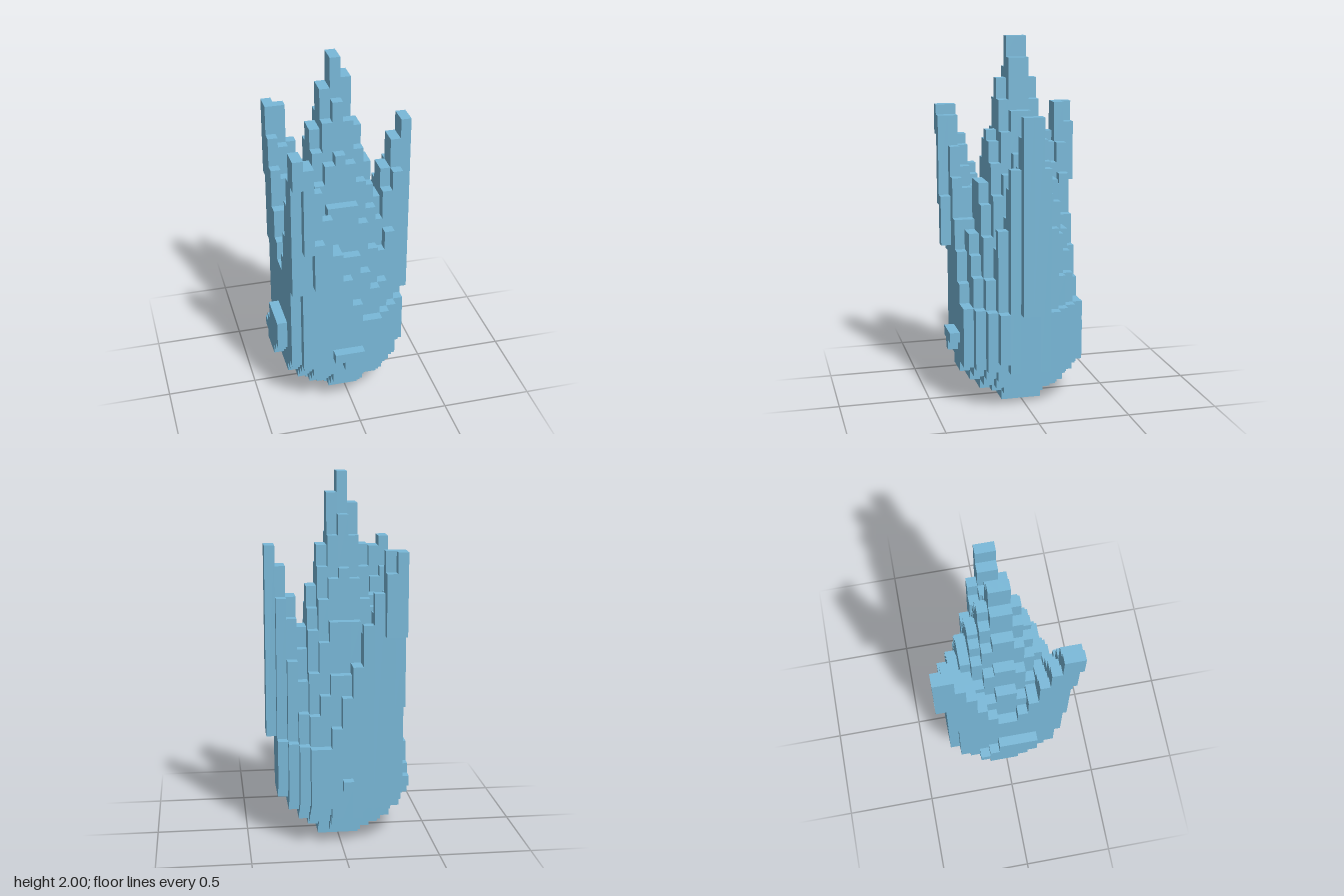
import * as THREE from 'three';
import { mergeGeometries } from 'three/addons/utils/BufferGeometryUtils.js';

const S = 2 / 36; // edge of one block
const ICE = new THREE.MeshStandardMaterial({ color: 0x79b9d9 });
ICE.name = 'iceBlue';

// Top of the block column: steep central cone joined to three outer cones
function topOf(x, z) {
  const r = Math.hypot(x + 0.45, z);
  const outer = (peak, cx, cz, squash) =>
    Math.min(29, peak - 3.4 * Math.hypot(x - cx, (z - cz) * squash));
  const h = Math.max(
    38.5 - 4.6 * r - 0.8 * Math.max(0, r - 4),
    outer(31.2, 6.5, 0, 1.35),
    outer(31.1, -5.2, 6, 1),
    outer(31.1, -5.2, -6, 1));
  return Math.min(36, Math.max(10, Math.round(h)));
}

// Underside: a stepped bowl, with the two square corners cut back
function bottomOf(x, z) {
  if (Math.hypot(x, z) < 2.2) return 0;
  const r = Math.hypot(x + 0.5, z);
  const step = [[3.8, 1], [4.9, 2], [5.75, 3], [6.4, 4], [7, 5]].find(([limit]) => r < limit);
  return step ? step[1] : 14;
}

function buildColumns() {
  const columns = new Map();
  const set = (i, j, b, t) => columns.set(i + ',' + j, { i, j, b, t });

  // main body
  for (let i = -6; i <= 5; i++) {
    for (let j = -6; j <= 5; j++) {
      const x = i + 0.5, z = j + 0.5;
      if (Math.hypot(x + 0.5, z) < 6.6 || x < 0) set(i, j, bottomOf(x, z), topOf(x, z));
    }
  }
  // low rim beside the right spire
  for (const [i, j] of [[5, -3], [5, 2], [4, -4], [4, 3]]) {
    set(i, j, bottomOf(i + 0.5, j + 0.5), 10);
  }
  // overhanging spire faces
  for (const j of [-1, 0]) set(6, j, 10, 29);
  set(-6, 6, 26, 29);
  set(-5, 6, 19, 28);
  set(-4, 6, 15, 20);
  set(-6, -7, 21, 29);
  set(-5, -7, 21, 27);
  set(-5, -6, 5, 29);
  // small bumps on the lower walls
  set(-2, 6, 6, 7);
  set(-1, 6, 5, 7);
  set(0, 6, 6, 7);
  set(-1, -7, 6, 7);
  [[5, 6], [4, 7], [4, 9], [4, 9], [5, 9], [6, 9]].forEach(([b, t], k) => set(-7, k - 3, b, t));
  return columns;
}

// Only the exposed faces of the columns
function columnsToGeometry(columns) {
  const faces = [];
  const flat = (i, j, y, up) => {
    const g = new THREE.PlaneGeometry(S, S);
    g.rotateX(up ? -Math.PI / 2 : Math.PI / 2);
    faces.push(g.translate((i + 0.5) * S, y * S, (j + 0.5) * S));
  };
  const wall = (i, j, di, dj, y0, y1) => {
    if (y1 <= y0) return;
    const g = new THREE.PlaneGeometry(S, (y1 - y0) * S);
    g.rotateY(Math.atan2(di, dj));
    faces.push(g.translate((i + 0.5 + di / 2) * S, (y0 + y1) / 2 * S, (j + 0.5 + dj / 2) * S));
  };
  for (const { i, j, b, t } of columns.values()) {
    flat(i, j, t, true);
    flat(i, j, b, false);
    for (const [di, dj] of [[1, 0], [-1, 0], [0, 1], [0, -1]]) {
      const n = columns.get((i + di) + ',' + (j + dj));
      if (!n) {
        wall(i, j, di, dj, b, t);
      } else {
        wall(i, j, di, dj, b, Math.min(t, n.b));
        wall(i, j, di, dj, Math.max(b, n.t), t);
      }
    }
  }
  return mergeGeometries(faces);
}

export function createModel() {
  const group = new THREE.Group();
  group.name = 'spiredCrystal';
  const body = new THREE.Mesh(columnsToGeometry(buildColumns()), ICE);
  body.name = 'crystalBody';
  group.add(body);
  return group;
}
